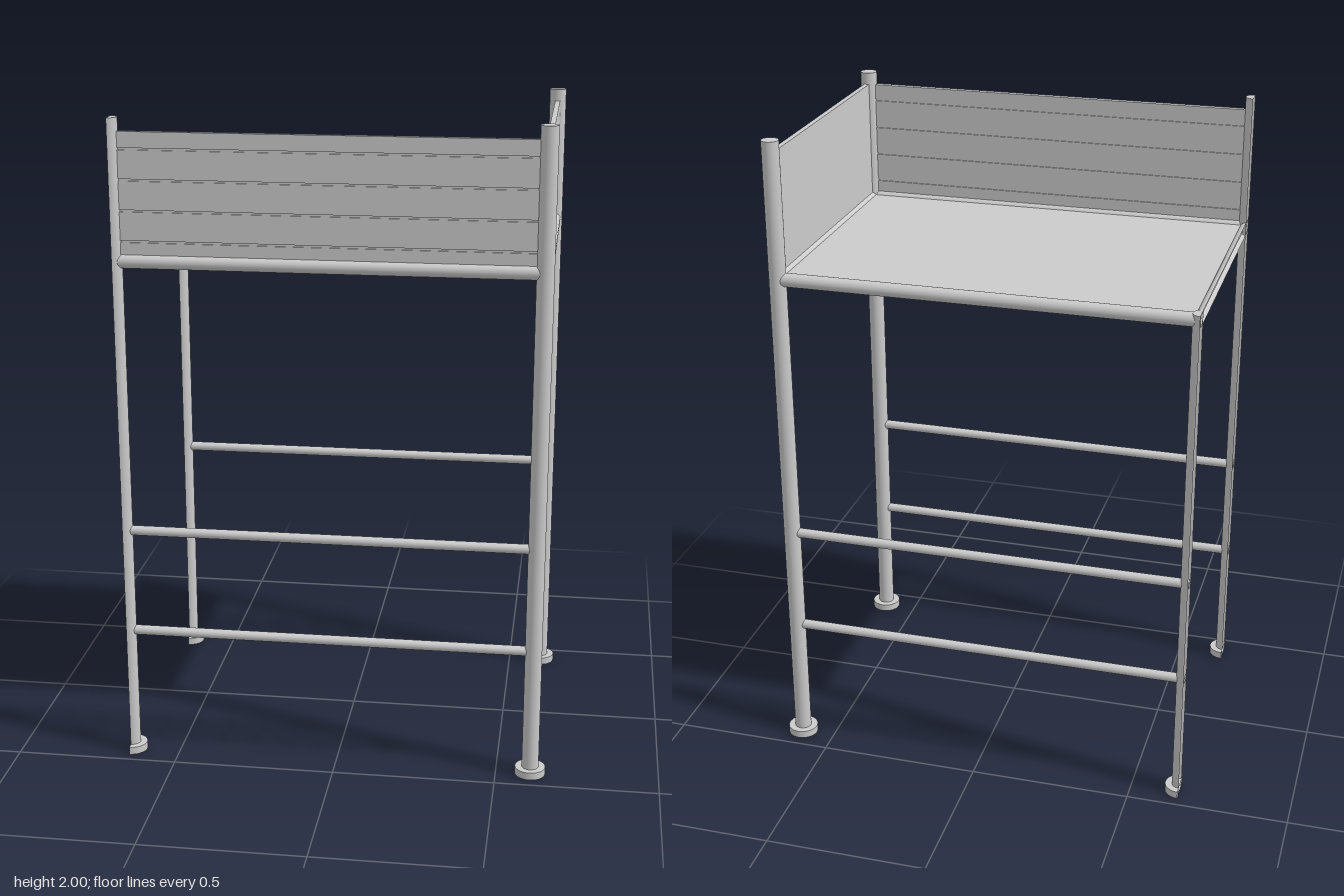
import * as THREE from 'three';

const X = 0.606, CUT = -0.653, Z = 0.422, DECK = 1.58;

export function createModel() {
  const group = new THREE.Group();
  const solid = new THREE.MeshStandardMaterial({ color: 0xcccccc });
  const open = new THREE.MeshStandardMaterial({ color: 0xcccccc, side: THREE.DoubleSide });

  const add = (name, geometry, x, y, z, material = solid) => {
    const mesh = new THREE.Mesh(geometry, material);
    mesh.name = name;
    mesh.position.set(x, y, z);
    group.add(mesh);
    return mesh;
  };
  // Half tubes keep only the +x side and stay open along the cut
  const tube = (r, length, half = false) =>
    new THREE.CylinderGeometry(r, r, length, half ? 16 : 32, 1, false, 0, half ? Math.PI : Math.PI * 2);

  // Posts with round feet; the posts on the cut side are halved
  for (const x of [X, CUT]) {
    for (const z of [Z, -Z]) {
      const half = x === CUT;
      const height = half && z < 0 ? 1.6 : 2;
      const material = half ? open : solid;
      add('post', tube(0.026, height, half), x, height / 2, z, material);
      add('foot', tube(0.047, 0.024, half), x, 0.012, z, material);
    }
  }

  // Long rails under the deck edge and the thinner guard bars below
  const length = X - CUT;
  for (const z of [Z, -Z]) {
    for (const [name, y, r] of [['deckRail', DECK, 0.021], ['guardBar', 0.74, 0.015], ['guardBar', 0.41, 0.015]]) {
      add(name, tube(r, length), (X + CUT) / 2, y, z).rotation.z = Math.PI / 2;
    }
  }

  // Short rails at the two ends
  add('endRail', tube(0.021, 2 * Z), X, DECK, 0).rotation.x = Math.PI / 2;
  add('cutEndRail', tube(0.021, 2 * Z, true), CUT, DECK, 0, open).rotation.x = Math.PI / 2;

  // Deck
  add('deck', new THREE.BoxGeometry(length - 0.02, 0.02, 2 * Z - 0.02), (X + CUT) / 2, DECK, 0);

  // Front wall: planks with narrow grooves over a thin core
  const wallLength = length - 0.04;
  add('frontWallCore', new THREE.BoxGeometry(wallLength, 0.36, 0.01), (X + CUT) / 2, 1.78, Z);
  const seams = [1.598, 1.64, 1.73, 1.82, 1.91, 1.963];
  for (let i = 0; i < seams.length - 1; i++) {
    const h = seams[i + 1] - seams[i] - 0.006;
    add('frontWallPlank', new THREE.BoxGeometry(wallLength, h, 0.018),
      (X + CUT) / 2, (seams[i] + seams[i + 1]) / 2, Z);
  }

  // Plain end wall
  add('endWall', new THREE.BoxGeometry(0.016, 0.373, 2 * Z - 0.04), X, 1.777, 0);

  return group;
}
